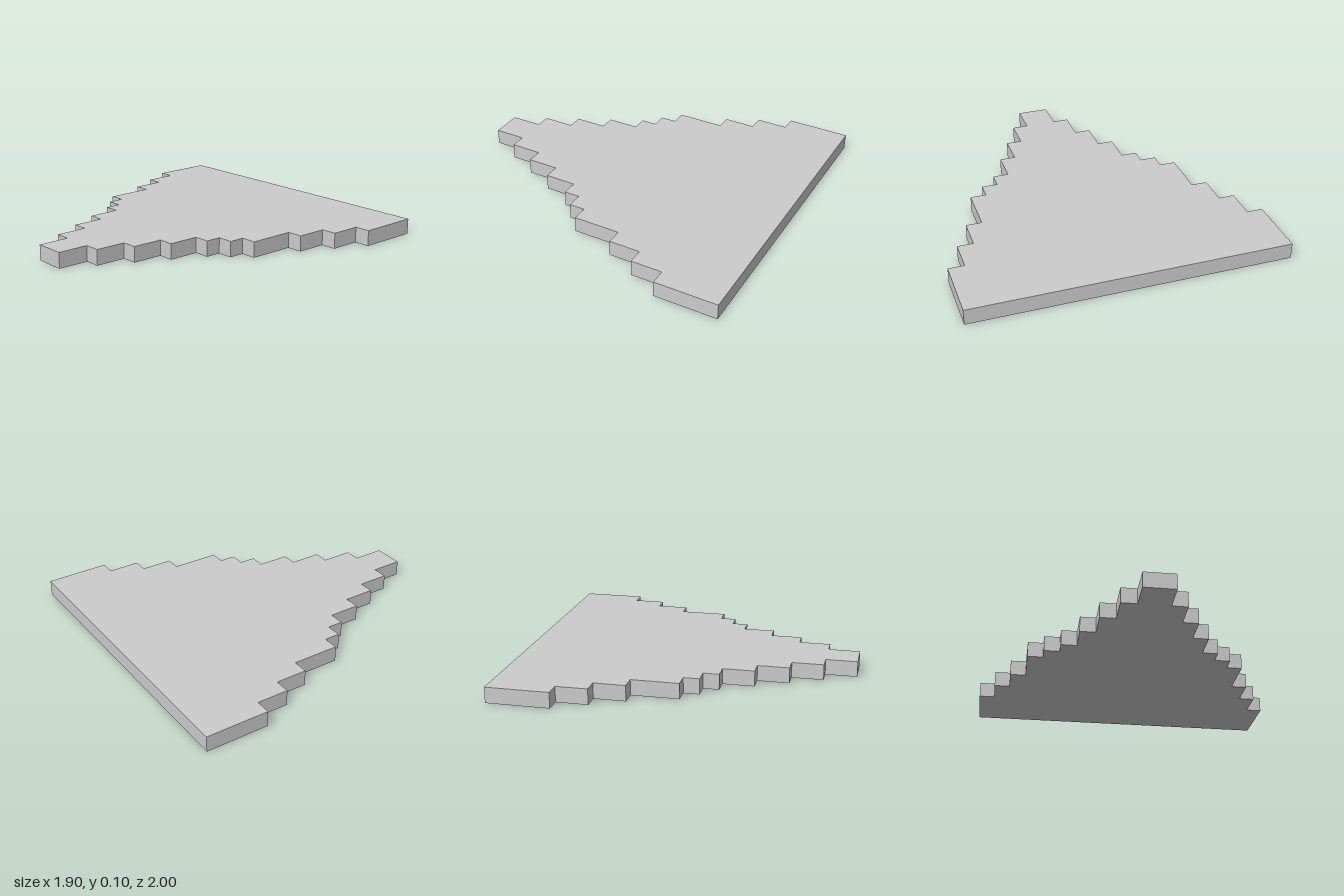
import * as THREE from 'three';

// The outline sits on a grid of 21 cells along z.
const CELL = 2 / 21;
// Row at which each step ends, counted from the back; half-width shrinks from 10 cells to 1.
const STEP_ENDS = [4, 6, 8, 11, 12, 13, 15, 17, 19, 21];

export function createModel() {
  const group = new THREE.Group();
  group.name = 'steppedPlate';

  // Right-hand staircase edge, from back to front (shape y = -z)
  const edge = [];
  let row = 0;
  STEP_ENDS.forEach((end, i) => {
    const x = (STEP_ENDS.length - i) * CELL;
    edge.push(new THREE.Vector2(x, 1 - row * CELL), new THREE.Vector2(x, 1 - end * CELL));
    row = end;
  });

  // Mirror it to close the outline
  const mirrored = edge.map((p) => new THREE.Vector2(-p.x, p.y)).reverse();
  const shape = new THREE.Shape([...edge, ...mirrored]);

  const geometry = new THREE.ExtrudeGeometry(shape, { depth: CELL, bevelEnabled: false });
  geometry.rotateX(-Math.PI / 2);

  const plate = new THREE.Mesh(
    geometry,
    new THREE.MeshStandardMaterial({ color: 0xcccccc, flatShading: true })
  );
  plate.name = 'plate';
  group.add(plate);
  return group;
}
